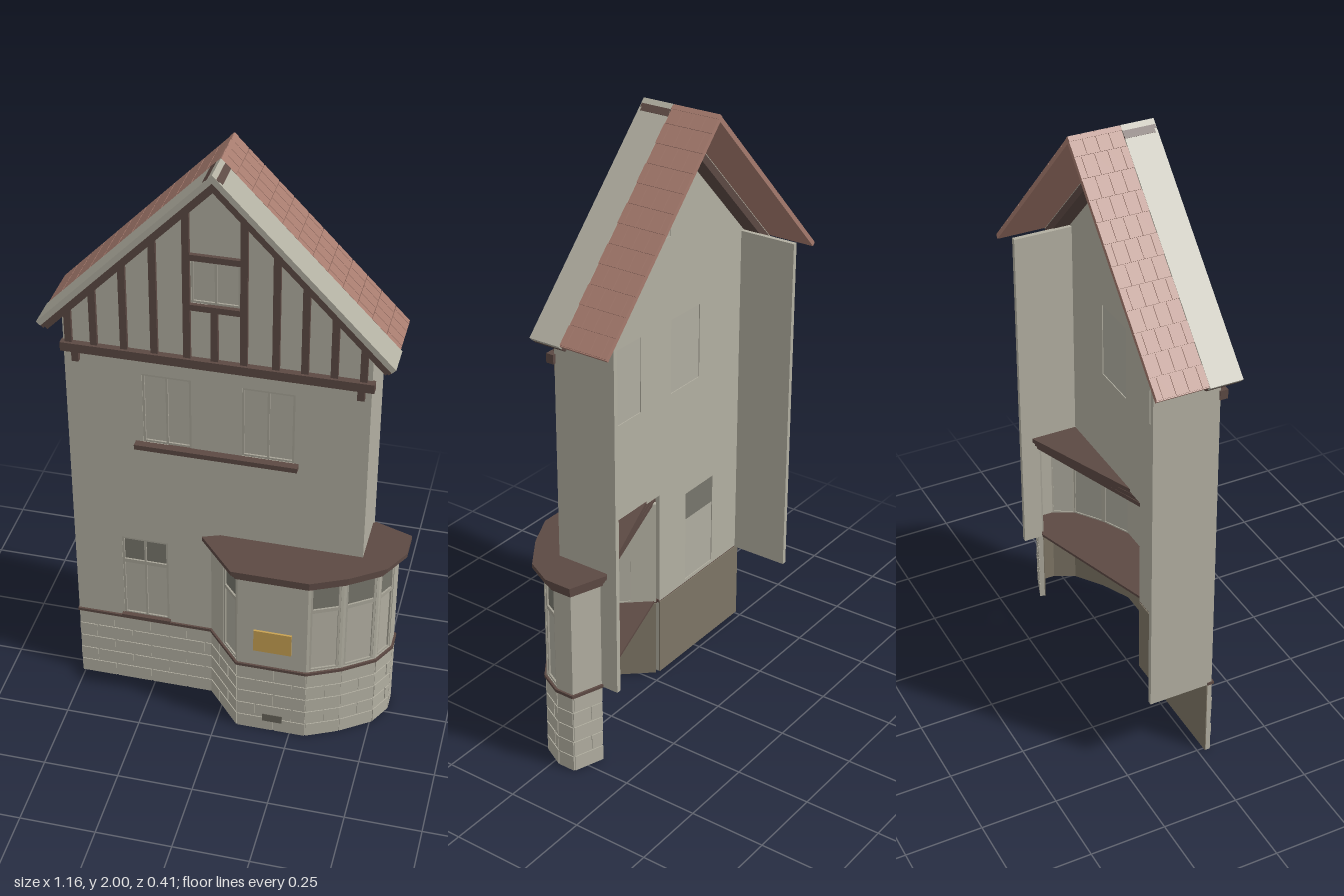
import * as THREE from 'three';

const mat = (name, color) => Object.assign(new THREE.MeshStandardMaterial({ color }), { name });
const M = {
  render: mat('render', 0xb2afa1),
  lining: mat('plinthLining', 0x7d7565),
  frame: mat('windowFrame', 0xa7a497),
  glass: mat('glass', 0xb0ada0),
  fanlight: mat('fanlightGlass', 0x77766c),
  timber: mat('timber', 0x5c4943),
  tile: mat('roofTile', 0xa67b6e),
  plaque: mat('plaque', 0xc8a252),
  vent: mat('vent', 0x67645a),
};

const FRONT = 0.04, RIDGE = -0.033, PITCH = 1.03, ANGLE = Math.atan(PITCH), BAND = 0.28;
// Bay plan, from the front wall round to the side wall, as [x, z]
const BAY = [[-0.05, 0.04], [-0.01, 0.085], [0.07, 0.175], [0.3, 0.175], [0.405, 0.125],
  [0.505, 0.055], [0.545, -0.02], [0.545, -0.08], [0.445, -0.115]];

// Box given by its limits on each axis
function box(parent, name, m, x0, x1, y0, y1, z0, z1) {
  const mesh = new THREE.Mesh(new THREE.BoxGeometry(x1 - x0, y1 - y0, z1 - z0), m);
  mesh.position.set((x0 + x1) / 2, (y0 + y1) / 2, (z0 + z1) / 2);
  mesh.name = name;
  parent.add(mesh);
  return mesh;
}

// Upright wall panel with rectangular holes, outer face at z = 0
function panel(parent, name, points, holes, depth = 0.016) {
  const shape = new THREE.Shape(points.map(p => new THREE.Vector2(...p)));
  for (const [x0, x1, y0, y1] of holes) {
    shape.holes.push(new THREE.Path([[x0, y0], [x0, y1], [x1, y1], [x1, y0]].map(p => new THREE.Vector2(...p))));
  }
  const mesh = new THREE.Mesh(new THREE.ExtrudeGeometry(shape, { depth, bevelEnabled: false }), M.render);
  mesh.position.z = -depth;
  mesh.name = name;
  parent.add(mesh);
}

// Recessed window with optional mullion and darker fanlight above a transom
function addWindow(parent, [x0, x1, y0, y1], mullion, transom) {
  const g = new THREE.Group(), f = 0.007;
  g.name = 'window';
  const top = transom || y1;
  box(g, 'pane', M.glass, x0, x1, y0, top, -0.013, -0.008);
  if (transom) {
    box(g, 'fanlight', M.fanlight, x0, x1, transom, y1, -0.013, -0.008);
    box(g, 'transom', M.frame, x0, x1, transom - f, transom + f, -0.009, -0.002);
  }
  for (const x of [x0, x1 - f]) box(g, 'jamb', M.frame, x, x + f, y0, y1, -0.009, -0.002);
  for (const y of [y0, y1 - f]) box(g, 'rail', M.frame, x0, x1, y, y + f, -0.009, -0.002);
  if (mullion) {
    const c = (x0 + x1) / 2;
    box(g, 'mullion', M.frame, c - f / 2, c + f / 2, y0, y1, -0.009, -0.002);
  }
  parent.add(g);
}

// Group whose x axis runs from a to b and whose z axis points outwards
function facet(parent, name, a, b) {
  const g = new THREE.Group(), dx = b[0] - a[0], dz = b[1] - a[1];
  g.name = name;
  g.position.set(a[0], 0, a[1]);
  g.rotation.y = Math.atan2(-dz, dx);
  parent.add(g);
  return [g, Math.hypot(dx, dz)];
}

// Mitred outward offset of a plan path
function offset(path, d) {
  const normal = (a, b) => {
    const dx = b[0] - a[0], dz = b[1] - a[1], l = Math.hypot(dx, dz);
    return [-dz * -1 / l, dx / l].map((v, i) => (i ? v : -v * 1));
  };
  return path.map((p, i) => {
    const n = path.length - 1;
    const u = normal(path[Math.max(i - 1, 0)], path[Math.max(i, 1)]);
    const v = normal(path[Math.min(i, n - 1)], path[Math.min(i + 1, n)]);
    const k = d / (1 + u[0] * v[0] + u[1] * v[1]);
    return [p[0] + (u[0] + v[0]) * k, p[1] + (u[1] + v[1]) * k];
  });
}

// Horizontal slab over a plan outline
function slab(parent, name, m, path, y0, y1) {
  const shape = new THREE.Shape(path.map(([x, z]) => new THREE.Vector2(x, -z)));
  const geo = new THREE.ExtrudeGeometry(shape, { depth: y1 - y0, bevelEnabled: false });
  const mesh = new THREE.Mesh(geo.rotateX(-Math.PI / 2), m);
  mesh.position.y = y0;
  mesh.name = name;
  parent.add(mesh);
}

// Stone plinth with raised blocks, a dark inner lining and the band above
function plinth(parent, a, b) {
  const [g, len] = facet(parent, 'plinth', a, b);
  box(g, 'plinthWall', M.render, 0, len, 0, BAND - 0.005, -0.014, 0);
  box(g, 'plinthLining', M.lining, 0, len, 0, BAND - 0.005, -0.017, -0.014);
  box(g, 'stringCourse', M.timber, -0.003, len + 0.003, BAND - 0.006, BAND + 0.004, -0.014, 0.007);
  const rows = 5, h = (BAND - 0.006) / rows, w = 0.125, gap = 0.003;
  for (let r = 0; r < rows; r++) {
    for (let x = -(r % 2) * w * 0.5; x < len; x += w) {
      const x0 = Math.max(x + gap, 0), x1 = Math.min(x + w - gap, len);
      if (x1 - x0 > 0.012) box(g, 'stone', M.render, x0, x1, r * h + gap * (r > 0), (r + 1) * h - gap, 0, 0.003);
    }
  }
}

function buildBay(parent) {
  const bay = new THREE.Group();
  bay.name = 'cornerBay';
  parent.add(bay);
  const glazed = [1, 3, 4, 5];
  for (let i = 0; i < BAY.length - 1; i++) {
    plinth(bay, BAY[i], BAY[i + 1]);
    const [g, len] = facet(bay, 'bayWall', BAY[i], BAY[i + 1]);
    const hole = [i === 1 ? 0.025 : 0.009, len - 0.009, 0.288, 0.64];
    const open = glazed.includes(i);
    panel(g, 'bayPanel', [[0, BAND], [len, BAND], [len, 0.65], [0, 0.65]], open ? [hole] : []);
    if (open) addWindow(g, hole, false, 0.54);
  }
  slab(bay, 'windowSeat', M.timber, BAY, BAND - 0.006, BAND + 0.003);
  [[0.012, 0.645, 0.66], [0.022, 0.66, 0.675], [0.033, 0.675, 0.69]].forEach(([d, y0, y1]) =>
    slab(bay, 'cornice', M.timber, offset(BAY, d), y0, y1));
  // Plaque and air vent on the front of the bay
  box(bay, 'plaque', M.plaque, 0.125, 0.25, 0.35, 0.435, 0.175, 0.182);
  box(bay, 'airVent', M.vent, 0.157, 0.224, 0.04, 0.07, 0.175, 0.18);
}

function buildRoof(parent) {
  const len = 0.55 / Math.cos(ANGLE);
  for (const s of [-1, 1]) {
    const g = new THREE.Group();
    g.name = s < 0 ? 'rightRoofSlope' : 'leftRoofSlope';
    g.position.set(RIDGE, 2, 0);
    g.rotation.z = -s * ANGLE;
    parent.add(g);
    const run = (name, m, a, b, y0, y1, z0, z1) =>
      box(g, name, m, Math.min(s * a, s * b), Math.max(s * a, s * b), y0, y1, z0, z1);
    run('verge', M.render, 0, len, -0.018, 0, -0.035, 0.07);
    run('bargeBoard', M.timber, 0, len, -0.03, -0.018, -0.035, 0.068);
    run('bargeMoulding', M.timber, 0, len - 0.003, -0.042, -0.03, -0.035, 0.062);
    run('roofDeck', M.tile, 0, len - 0.004, -0.016, -0.004, -0.2, -0.035);
    // Raised tile courses
    const courses = 12, step = (len - 0.004) / courses;
    for (let i = 0; i < courses; i++) {
      const shift = (i % 2) * 0.02;
      for (let z = -0.2 - shift; z < -0.036; z += 0.041) {
        run('tile', M.tile, i * step, (i + 1) * step - 0.003, -0.004, -0.001,
          Math.max(z, -0.2), Math.min(z + 0.039, -0.035));
      }
    }
  }
}

function buildGableTimber(parent) {
  const g = new THREE.Group();
  g.name = 'gableTimberFrame';
  parent.add(g);
  const z1 = FRONT + 0.013;
  const beam = (name, x0, x1, y0, y1, z = z1) => box(g, name, M.timber, x0, x1, y0, y1, FRONT - 0.004, z);
  beam('tieBeam', -0.515, 0.455, 1.335, 1.365, 0.062);
  for (const x of [-0.47, 0.415]) beam('bracket', x - 0.011, x + 0.011, 1.3, 1.336, 0.058);
  for (const x of [-0.49, -0.41, -0.315, -0.22, -0.118, 0.057, 0.155, 0.243, 0.332, 0.42]) {
    beam('stud', x - 0.011, x + 0.011, 1.36, 1.955 - PITCH * Math.abs(x - RIDGE));
  }
  beam('shortStud', RIDGE - 0.011, RIDGE + 0.011, 1.36, 1.54);
  for (const y of [1.545, 1.715]) beam('rail', -0.118, 0.057, y - 0.01, y + 0.01);
}

export function createModel() {
  const model = new THREE.Group();
  model.name = 'house';

  // Front wall with gable, bay opening and windows
  const front = new THREE.Group();
  front.name = 'frontWall';
  front.position.z = FRONT;
  model.add(front);
  const upper = [[-0.265, -0.11, 1.02, 1.275], [0.05, 0.215, 1.02, 1.275]];
  const ground = [-0.35, -0.195, 0.292, 0.62], attic = [-0.105, 0.044, 1.555, 1.705];
  panel(front, 'frontPanel', [[-0.51, BAND], [-0.05, BAND], [-0.05, 0.68], [0.445, 0.68],
    [0.445, 1.455], [RIDGE, 1.95], [-0.51, 1.455]], [...upper, ground, attic]);
  for (const w of [...upper, attic]) addWindow(front, w, true);
  addWindow(front, ground, true, 0.52);
  box(front, 'upperSill', M.timber, -0.29, 0.23, 1.003, 1.02, -0.005, 0.026);
  box(front, 'groundSill', M.timber, -0.357, -0.19, 0.282, 0.295, -0.005, 0.014);

  // Side walls, the left one opening into the bay
  box(model, 'rightSideWall', M.render, -0.51, -0.494, BAND - 0.005, 1.45, -0.175, FRONT - 0.016);
  box(model, 'leftSideWall', M.render, 0.429, 0.445, 0.68, 1.45, -0.175, FRONT - 0.016);
  box(model, 'leftSidePier', M.render, 0.429, 0.445, BAND - 0.005, 0.68, -0.175, -0.11);

  plinth(model, [-0.51, FRONT], [-0.05, FRONT]);
  buildBay(model);
  buildGableTimber(model);
  buildRoof(model);
  return model;
}
